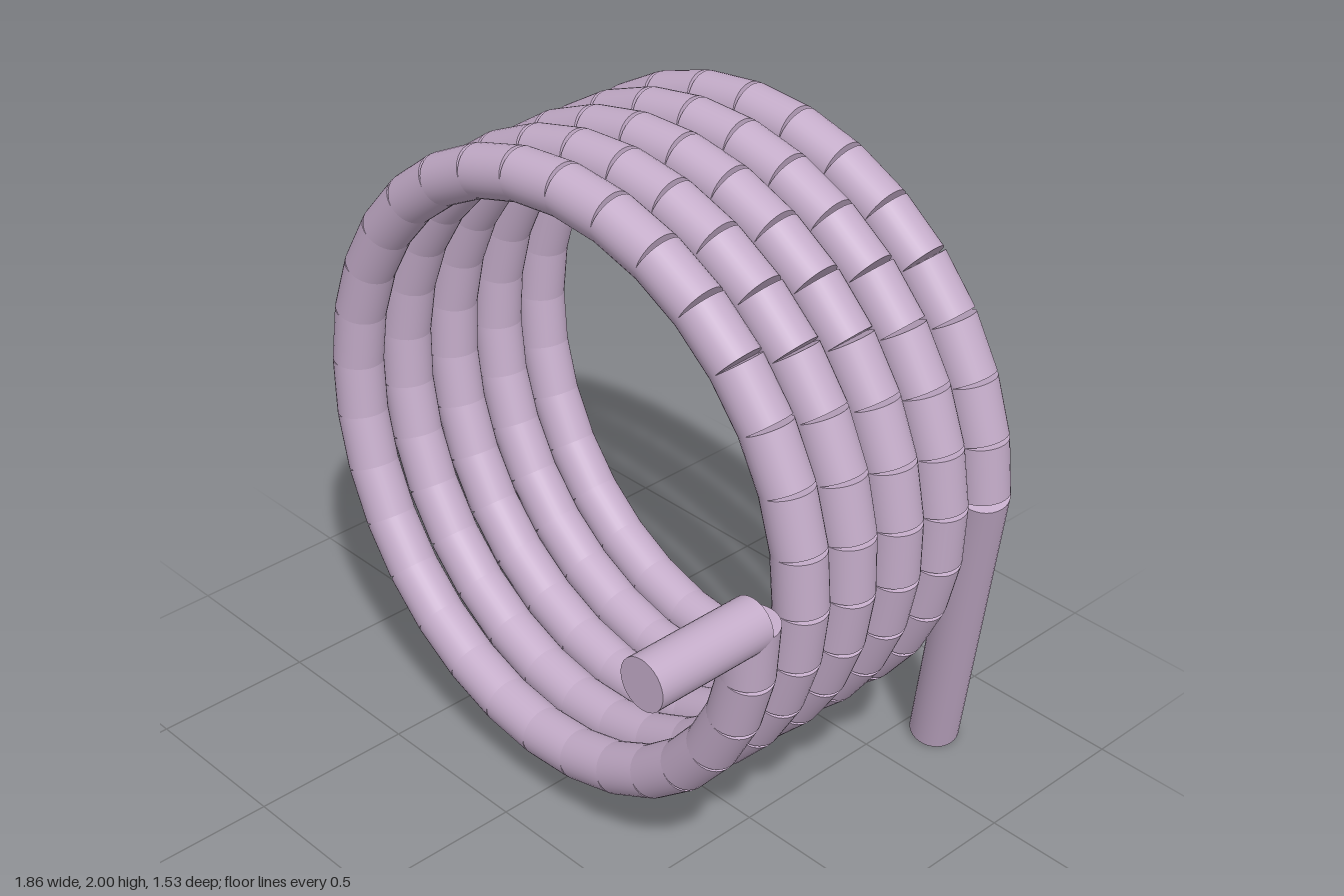
import * as THREE from 'three';

const COIL_RADIUS = 0.857;
const TUBE_RADIUS = 0.075;
const CENTRE_Y = 1.068;
const FRONT_Z = 0.388;
const PITCH = 0.1775;
const TURNS = 5;
const SEGMENTS = 159;

const material = new THREE.MeshStandardMaterial({ color: 0xc4acc9 });
const UP = new THREE.Vector3(0, 1, 0);

// Straight, square-ended rod between two points
function rod(name, a, b) {
  const dir = b.clone().sub(a);
  const geometry = new THREE.CylinderGeometry(TUBE_RADIUS, TUBE_RADIUS, dir.length(), 32);
  const mesh = new THREE.Mesh(geometry, material);
  mesh.name = name;
  mesh.position.copy(a).add(b).multiplyScalar(0.5);
  mesh.quaternion.setFromUnitVectors(UP, dir.normalize());
  return mesh;
}

// Point on the helix, t from 0 (front) to 1 (back), winding downwards from +x
function helixPoint(t) {
  const angle = -t * TURNS * Math.PI * 2;
  return new THREE.Vector3(
    COIL_RADIUS * Math.cos(angle),
    CENTRE_Y + COIL_RADIUS * Math.sin(angle),
    FRONT_Z - t * TURNS * PITCH
  );
}

export function createModel() {
  const model = new THREE.Group();
  model.name = 'coil';

  // Windings: short straight rods whose square ends leave small wedge gaps outside
  const windings = new THREE.Group();
  windings.name = 'windings';
  for (let i = 0; i < SEGMENTS; i++) {
    windings.add(rod('windingSegment', helixPoint(i / SEGMENTS), helixPoint((i + 1) / SEGMENTS)));
  }
  model.add(windings);

  // Front lead runs straight forward, back lead slants down to the ground
  const start = helixPoint(0);
  model.add(rod('frontLead', start, new THREE.Vector3(start.x, start.y, 0.767)));
  model.add(rod('backLead', helixPoint(1), new THREE.Vector3(0.6, 0.022, -0.693)));

  return model;
}
